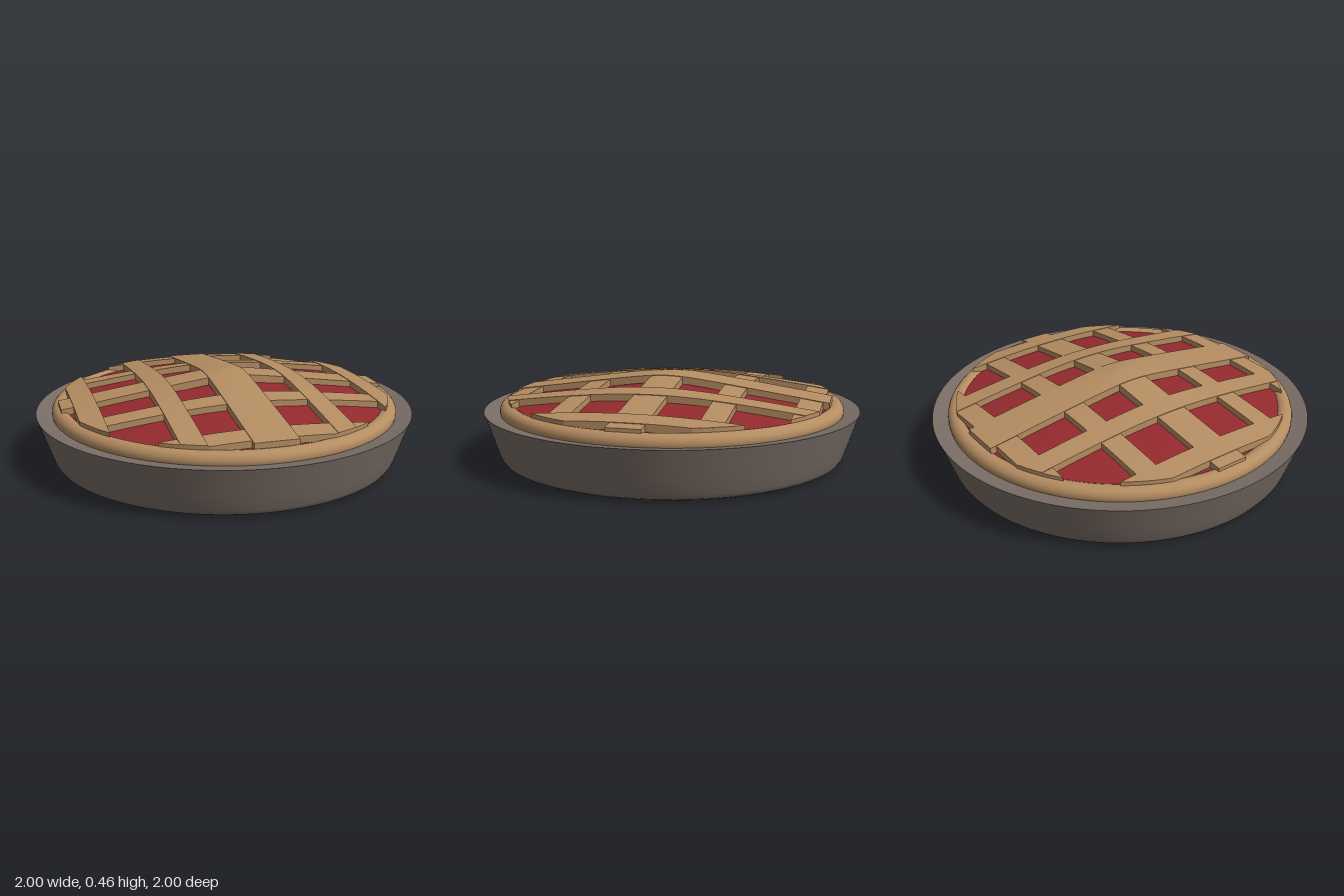
import * as THREE from 'three';

const PAN = new THREE.MeshStandardMaterial({ color: 0x7a6e66 });
const CRUST = new THREE.MeshStandardMaterial({ color: 0xb58d62 });
const FILLING = new THREE.MeshStandardMaterial({ color: 0x942a2e });

const CLIP = 0.872;      // radius that trims the lattice strips
const THICK = 0.04;

// Height of the lattice top at radius r: a shallow cone with a soft tip
const latticeTop = (r) => 0.463 - 0.147 * Math.sqrt(r * r + 0.0006);

function lathe(name, points, material) {
  const geo = new THREE.LatheGeometry(points.map(([x, y]) => new THREE.Vector2(x, y)), 96);
  const mesh = new THREE.Mesh(geo, material);
  mesh.name = name;
  return mesh;
}

// One strip centred at the given offset, draped over the dome.
// Its ends follow the round edge unless a straight half length is given.
function strip(name, offset, width, alongX, lift, halfLength) {
  const geo = new THREE.BoxGeometry(width, THICK, 2, 8, 1, 48);
  const pos = geo.attributes.position;
  for (let i = 0; i < pos.count; i++) {
    const u = offset + pos.getX(i);
    const half = halfLength ?? Math.sqrt(CLIP * CLIP - u * u);
    const v = pos.getZ(i) * half;
    const y = latticeTop(Math.hypot(u, v)) + lift + pos.getY(i) - THICK / 2;
    pos.setXYZ(i, u, y, v);
  }
  if (alongX) geo.rotateY(Math.PI / 2);
  geo.computeVertexNormals();
  const mesh = new THREE.Mesh(geo, CRUST);
  mesh.name = name;
  return mesh;
}

export function createModel() {
  const pie = new THREE.Group();
  pie.name = 'latticePie';

  // Pan: rounded base and flared wall, then the rim sloping in to the crust
  pie.add(lathe('panWall', [
    [0, 0], [0.6, 0.001], [0.84, 0.003], [0.885, 0.009], [0.912, 0.022],
    [0.926, 0.045], [0.95, 0.115], [0.975, 0.193], [1, 0.27],
  ], PAN));
  pie.add(lathe('panRim', [[1, 0.27], [0.95, 0.262], [0.88, 0.252]], PAN));

  // Rolled crust edge
  const edge = new THREE.Mesh(new THREE.TorusGeometry(0.873, 0.045, 20, 96), CRUST);
  edge.rotation.x = Math.PI / 2;
  edge.position.y = 0.27;
  edge.name = 'crustEdge';
  pie.add(edge);

  // Domed filling
  const dome = [];
  for (let i = 0; i <= 16; i++) {
    const r = 0.86 * (1 - i / 16);
    dome.push([r, 0.4 - 0.1 * Math.pow(r / 0.86, 1.5)]);
  }
  pie.add(lathe('filling', dome, FILLING));

  // Lattice: a wide middle strip and two narrower ones per side, both ways
  const lattice = new THREE.Group();
  lattice.name = 'lattice';
  lattice.add(strip('middleStripLengthwise', 0, 0.22, false, 0.001, 0.85));
  lattice.add(strip('middleStripCrosswise', 0, 0.17, true, -0.002, 0.88));
  for (const side of [-1, 1]) {
    for (const offset of [0.37, 0.76]) {
      lattice.add(strip('stripLengthwise', side * offset, 0.115, false, 0.001));
      lattice.add(strip('stripCrosswise', side * offset, 0.115, true, -0.002));
    }
  }
  pie.add(lattice);
  return pie;
}
